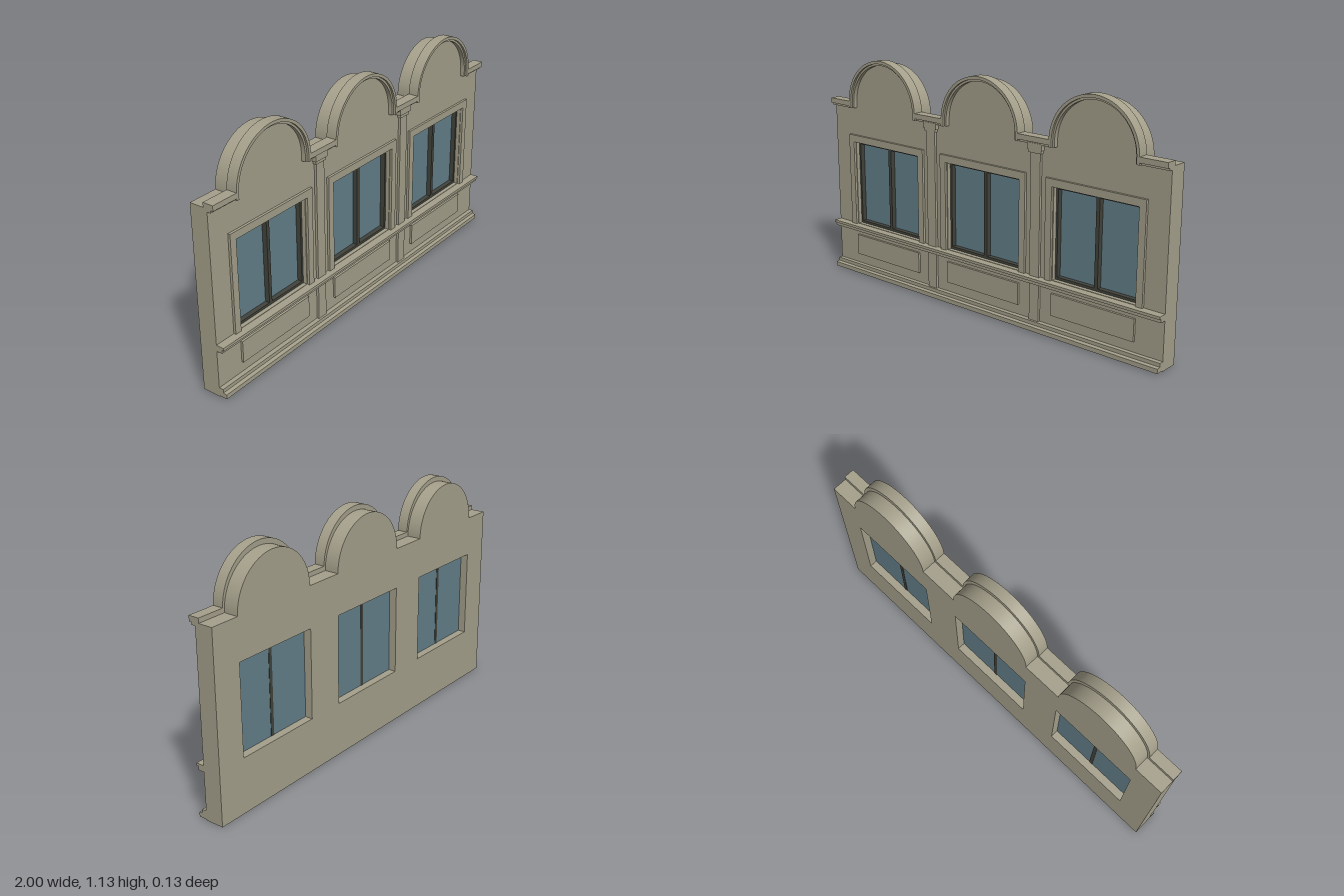
import * as THREE from 'three';

const stone = new THREE.MeshStandardMaterial({ color: 0xa5a08b });
stone.name = 'stone';
const glass = new THREE.MeshStandardMaterial({ color: 0x637f8a });
glass.name = 'glass';
const dark = new THREE.MeshStandardMaterial({ color: 0x43433c });
dark.name = 'darkFrame';

const BAYS = [-0.635, 0, 0.635];
const OPEN = { w: 0.222, y0: 0.26, y1: 0.69 };

export function createModel() {
  const root = new THREE.Group();
  root.name = 'facade';

  const add = (name, geometry, material, parent = root) => {
    const m = new THREE.Mesh(geometry, material);
    m.name = name;
    parent.add(m);
    return m;
  };
  // Box given by its limits on each axis
  const box = (name, x0, x1, y0, y1, z0, z1, material = stone, parent = root) => {
    const m = add(name, new THREE.BoxGeometry(x1 - x0, y1 - y0, z1 - z0), material, parent);
    m.position.set((x0 + x1) / 2, (y0 + y1) / 2, (z0 + z1) / 2);
    return m;
  };
  // Front-facing shape extruded from z0 to z1
  const slab = (name, shape, z0, z1, material = stone, parent = root) => {
    const g = new THREE.ExtrudeGeometry(shape, { depth: z1 - z0, bevelEnabled: false, curveSegments: 32 });
    g.translate(0, 0, z0);
    return add(name, g, material, parent);
  };
  // Moulding with a [z, y] profile running along x
  const moulding = (name, profile, x0, x1) => {
    const shape = new THREE.Shape(profile.map(([z, y]) => new THREE.Vector2(-z, y)));
    const g = new THREE.ExtrudeGeometry(shape, { depth: x1 - x0, bevelEnabled: false });
    g.rotateY(Math.PI / 2);
    g.translate(x0, 0, 0);
    return add(name, g, stone);
  };
  const rect = (C, w, y0, y1, cx = 0) => new C([[-w, y0], [w, y0], [w, y1], [-w, y1]]
    .map(([x, y]) => new THREE.Vector2(cx + x, y)));

  // Wall with three rounded gables and window openings
  const wall = new THREE.Shape();
  wall.moveTo(-1, 0);
  wall.lineTo(1, 0);
  wall.lineTo(1, 0.885);
  for (const x of [...BAYS].reverse()) {
    wall.lineTo(x + 0.222, 0.885);
    wall.absarc(x, 0.885, 0.222, 0, Math.PI, false);
  }
  wall.lineTo(-1, 0.885);
  for (const x of BAYS) wall.holes.push(rect(THREE.Path, OPEN.w, OPEN.y0, OPEN.y1, x));
  slab('wall', wall, -0.065, 0.025);

  // Half ring with short straight legs
  const archBand = (rIn, rOut) => {
    const s = new THREE.Shape();
    s.moveTo(rOut, 0.872);
    s.lineTo(rOut, 0.9);
    s.absarc(0, 0.9, rOut, 0, Math.PI, false);
    s.lineTo(-rOut, 0.872);
    s.lineTo(-rIn, 0.872);
    s.lineTo(-rIn, 0.9);
    s.absarc(0, 0.9, rIn, Math.PI, 0, true);
    s.lineTo(rIn, 0.872);
    return s;
  };

  for (const x of BAYS) {
    const bay = new THREE.Group();
    bay.name = 'bay';
    bay.position.x = x;
    root.add(bay);

    // Stepped arch moulding
    slab('archMoulding', archBand(0.207, 0.226), 0.005, 0.046, stone, bay);
    slab('archRim', archBand(0.217, 0.231), 0.005, 0.057, stone, bay);

    // Window surround, open at the sill
    const surround = rect(THREE.Shape, 0.26, 0.255, 0.73);
    surround.holes.push(rect(THREE.Path, 0.226, 0.256, 0.694));
    slab('windowSurround', surround, 0.02, 0.037, stone, bay);

    // Dark frame, mullion and glass
    const frame = rect(THREE.Shape, OPEN.w, OPEN.y0, OPEN.y1);
    frame.holes.push(rect(THREE.Path, OPEN.w - 0.01, OPEN.y0 + 0.012, OPEN.y1 - 0.01));
    slab('windowFrame', frame, -0.025, 0.005, dark, bay);
    box('mullion', -0.009, 0.009, OPEN.y0, OPEN.y1, -0.029, 0.005, dark, bay);
    box('windowGlass', -OPEN.w, OPEN.w, OPEN.y0, OPEN.y1, -0.027, -0.019, glass, bay);

    // Raised panel below the sill
    box('lowerPanel', -0.222, 0.222, 0.095, 0.2, 0.02, 0.036, stone, bay);
  }

  // Cornice pieces between the arches
  const cornice = [[0.005, 0.88], [0.02, 0.87], [0.043, 0.87], [0.043, 0.882],
    [0.057, 0.882], [0.057, 0.907], [0.005, 0.907]];
  for (const [a, b] of [[-1, -0.86], [-0.41, -0.225], [0.225, 0.41], [0.86, 1]]) {
    moulding('cornice', cornice, a, b);
  }

  // Sill course and stepped plinth
  moulding('sillCourse', [[0.02, 0.228], [0.055, 0.228], [0.055, 0.245],
    [0.065, 0.245], [0.065, 0.258], [0.02, 0.258]], -1, 1);
  moulding('plinth', [[0.02, 0.004], [0.065, 0.004], [0.065, 0.025],
    [0.047, 0.028], [0.047, 0.045], [0.02, 0.045]], -1, 1);

  // Pilasters with capitals
  for (const x of [-0.318, 0.318]) {
    box('pilaster', x - 0.027, x + 0.027, 0.04, 0.835, 0.02, 0.037);
    box('capitalNeck', x - 0.034, x + 0.034, 0.83, 0.85, 0.02, 0.042);
    box('capital', x - 0.041, x + 0.041, 0.845, 0.875, 0.02, 0.046);
  }
  return root;
}
